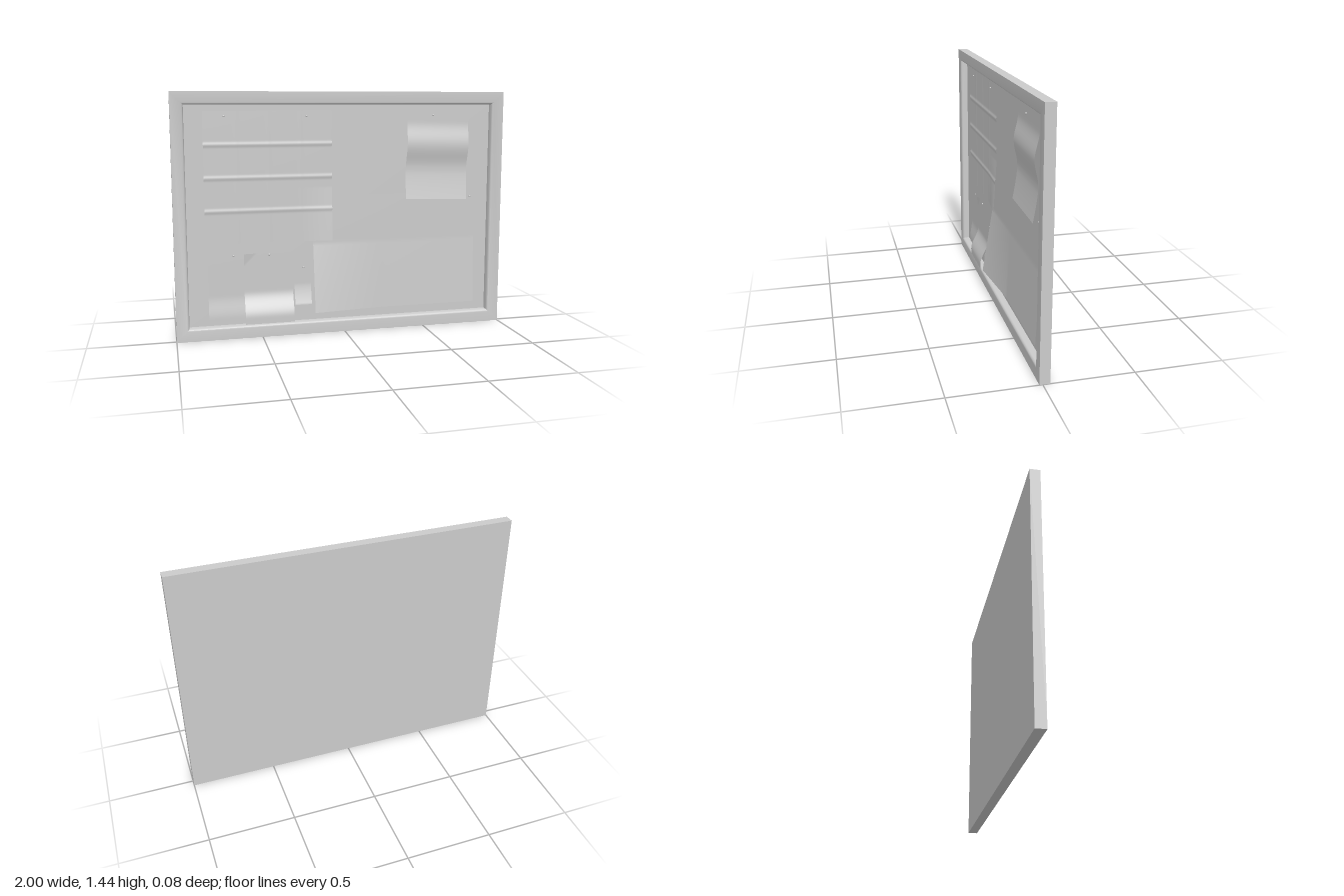
import * as THREE from 'three';
import { toCreasedNormals } from 'three/addons/utils/BufferGeometryUtils.js';

const WIDTH = 2, HEIGHT = 1.44, BACK = -0.04, BOARD = -0.026;
const grey = new THREE.MeshStandardMaterial({ color: 0xcccccc });
const paper = new THREE.MeshStandardMaterial({ color: 0xcccccc, side: THREE.DoubleSide });

const { smoothstep, clamp } = THREE.MathUtils;

function add(parent, name, geometry, material = grey) {
  const mesh = new THREE.Mesh(geometry, material);
  mesh.name = name;
  parent.add(mesh);
  return mesh;
}

// Mitred frame: a profile of [inset, z] swept around the rectangle
function frameGeometry(profile) {
  const positions = [];
  const corners = [[-1, -1], [1, -1], [1, 1], [-1, 1]];
  const point = ([sx, sy], [inset, z]) =>
    [sx * (WIDTH / 2 - inset), HEIGHT / 2 + sy * (HEIGHT / 2 - inset), z];
  for (let c = 0; c < 4; c++) {
    for (let i = 0; i < profile.length - 1; i++) {
      const a = point(corners[c], profile[i]);
      const b = point(corners[(c + 1) % 4], profile[i]);
      const d = point(corners[c], profile[i + 1]);
      const e = point(corners[(c + 1) % 4], profile[i + 1]);
      positions.push(...a, ...b, ...e, ...a, ...e, ...d);
    }
  }
  const geometry = new THREE.BufferGeometry();
  geometry.setAttribute('position', new THREE.Float32BufferAttribute(positions, 3));
  return toCreasedNormals(geometry, 0.6);
}

// Paper sheet from its edges, bent outward by height(x, y)
function sheet(parent, name, [x0, x1, y0, y1], height, tilt = 0, nx = 32, ny = 48) {
  const geometry = new THREE.PlaneGeometry(x1 - x0, y1 - y0, nx, ny);
  geometry.translate((x0 + x1) / 2, (y0 + y1) / 2, 0);
  const p = geometry.attributes.position;
  for (let i = 0; i < p.count; i++) p.setZ(i, height(p.getX(i), p.getY(i)));
  const cx = (x0 + x1) / 2, cy = (y0 + y1) / 2;
  geometry.translate(-cx, -cy, 0).rotateZ(tilt).translate(cx, cy, 0);
  geometry.computeVertexNormals();
  return add(parent, name, geometry, paper);
}

// Rounded ridge of a given half width around zero
const ridge = (d, w) => (Math.abs(d) < w ? 0.5 + 0.5 * Math.cos((Math.PI * d) / w) : 0);

export function createModel() {
  const group = new THREE.Group();

  // Frame with a rounded inner lip, closed back and recessed board
  add(group, 'frame', frameGeometry([
    [0, BACK], [0, 0.018], [0.06, 0.018], [0.066, 0.0165],
    [0.071, 0.012], [0.074, 0.006], [0.075, -0.001], [0.075, BOARD],
  ]));
  const back = add(group, 'backPanel', new THREE.PlaneGeometry(WIDTH, HEIGHT));
  back.rotation.y = Math.PI;
  back.position.set(0, HEIGHT / 2, BACK);
  const board = add(group, 'board', new THREE.PlaneGeometry(WIDTH - 0.15, HEIGHT - 0.15));
  board.position.set(0, HEIGHT / 2, BOARD);

  const papers = new THREE.Group();
  papers.name = 'papers';
  group.add(papers);

  // Large sheet with its lower left corner curling out
  sheet(papers, 'largeSheet', [-0.185, 0.84, 0.13, 0.83], (x, y) => {
    const down = clamp((0.54 - y) / 0.41, 0, 1);
    const toLeft = clamp(1 - (x + 0.185) / 0.43, 0, 1);
    return -0.025 + down * (0.02 + 0.045 * toLeft);
  }, 0, 60, 60);

  // Poster unfolded from a four by four grid, lower right corner lifted
  const [px0, px1, py0, py1] = [-0.82, -0.07, 0.56, 1.33];
  sheet(papers, 'foldedPoster', [px0, px1, py0, py1], (x, y) => {
    let z = -0.0235;
    for (let k = 1; k < 4; k++) {
      z += 0.004 * ridge(y - (py0 + (k * (py1 - py0)) / 4), 0.018);
      z += 0.001 * ridge(x - (px0 + (k * (px1 - px0)) / 4), 0.018);
    }
    const right = smoothstep(x, -0.3, px1), low = clamp((0.88 - y) / 0.32, 0, 1);
    return z + 0.02 * right * low;
  }, 0, 96, 120);

  // Wavy sheet on the upper right
  sheet(papers, 'wavySheet', [0.393, 0.785, 0.79, 1.32], (x, y) =>
    -0.0245 + 0.022 * ridge(y - 1.12, 0.14) + 0.024 * clamp((0.96 - y) / 0.17, 0, 1) ** 1.3,
  -0.025);

  // Small notes in the lower left
  sheet(papers, 'leftNote', [-0.81, -0.515, 0.1, 0.515], (x, y) =>
    -0.025 + 0.014 * smoothstep(0.25 - y, 0, 0.13));
  sheet(papers, 'narrowNote', [-0.3, -0.2, 0.177, 0.425], (x, y) =>
    -0.025 + 0.028 * clamp((0.3 - y) / 0.12, 0, 1) ** 1.5);
  sheet(papers, 'middleNote', [-0.6, -0.31, 0.083, 0.497], (x, y) => {
    const corner = clamp(1 - (x + 0.6 + 0.497 - y) / 0.07, 0, 1);
    return -0.023 + 0.05 * smoothstep(0.27 - y, 0, 0.15) + 0.008 * corner;
  });

  // Pins holding the papers
  const pins = new THREE.Group();
  pins.name = 'pins';
  group.add(pins);
  const pinGeometry = new THREE.SphereGeometry(0.006, 12, 6, 0, Math.PI * 2, 0, Math.PI / 2);
  pinGeometry.rotateX(Math.PI / 2);
  [[-0.7, 1.3], [-0.22, 1.3], [0.56, 1.3], [0.81, 0.8], [-0.66, 0.49], [-0.45, 0.488], [-0.245, 0.4]]
    .forEach(([x, y]) => add(pins, 'pin', pinGeometry).position.set(x, y, -0.023));

  return group;
}
